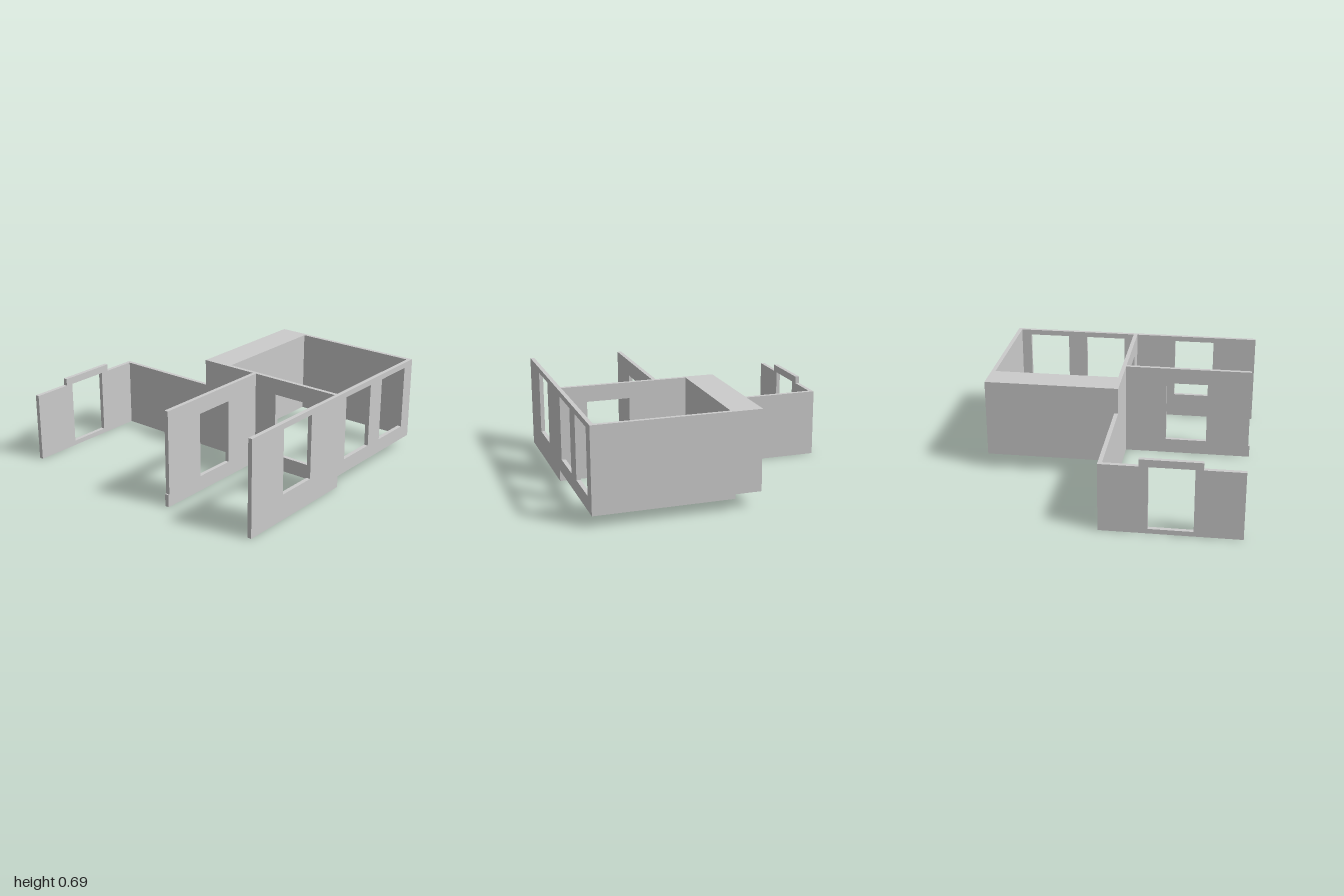
import * as THREE from 'three';

const T = 0.03;      // wall thickness
const H = 0.695;     // full wall height
const LOW = 0.5;     // low wall height
const RAISED = 0.083; // underside of the rear room

const material = new THREE.MeshStandardMaterial({ color: 0xcccccc });

// Upright slab from an outline of [along, y] points, with rectangular openings [a0, a1, y0, y1]
function slab(name, outline, openings = []) {
  const shape = new THREE.Shape(outline.map(([a, y]) => new THREE.Vector2(a, y)));
  for (const [a0, a1, y0, y1] of openings) {
    shape.holes.push(new THREE.Path([
      new THREE.Vector2(a0, y0), new THREE.Vector2(a0, y1),
      new THREE.Vector2(a1, y1), new THREE.Vector2(a1, y0),
    ]));
  }
  const geometry = new THREE.ExtrudeGeometry(shape, { depth: T, bevelEnabled: false });
  const mesh = new THREE.Mesh(geometry, material);
  mesh.name = name;
  return mesh;
}

// Wall running along x, its back face at z
function wallAlongX(name, z, outline, openings) {
  const mesh = slab(name, outline, openings);
  mesh.position.z = z;
  return mesh;
}

// Wall running along z, its +x face at x
function wallAlongZ(name, x, outline, openings) {
  const mesh = slab(name, outline, openings);
  mesh.rotation.y = -Math.PI / 2;
  mesh.position.x = x;
  return mesh;
}

export function createModel() {
  const group = new THREE.Group();
  group.name = 'houseWalls';
  const back = -0.97, front = 0.97, mid = 0.015;
  const w0 = 0.325, w1 = 0.635; // shared span of the front openings

  // Long cross wall, stepping from low to full height, with one window
  group.add(wallAlongX('crossWall', -mid,
    [[-1, 0], [1, 0], [1, H], [-0.18, H], [-0.18, LOW], [-1, LOW]],
    [[0.47, 0.785, 0.11, 0.577]]));

  // Full-length side wall with three windows, raised underneath at the rear
  group.add(wallAlongZ('leftSideWall', 1,
    [[-mid, 0], [front, 0], [front, H], [back, H], [back, RAISED], [-mid, RAISED]],
    [[w0, w1, 0.187, 0.655], [-0.4, -0.09, 0.187, 0.655], [-0.865, -0.55, 0.187, 0.655]]));

  // Partition with a small toe at the front foot
  group.add(wallAlongZ('partitionWall', 0.291,
    [[0, 0], [front, 0], [front, 0.09], [0.96, 0.09], [0.96, H], [0, H]],
    [[w0, w1, 0.11, 0.577]]));

  // Low side wall with a raised lintel over its opening
  group.add(wallAlongZ('rightSideWall', -1 + T,
    [[0, 0], [front, 0], [front, LOW], [0.69, LOW], [0.69, 0.552],
      [0.26, 0.552], [0.26, LOW], [0, LOW]],
    [[w0, w1, 0.035, 0.499]]));

  // Rear room walls
  group.add(wallAlongX('backWall', back,
    [[0.01, RAISED], [1, RAISED], [1, H], [0.01, H]]));
  group.add(wallAlongZ('rearInnerWall', 0.04,
    [[back, RAISED], [0, RAISED], [0, H], [back, H]]));

  // Solid block beside the rear room
  const bottom = 0.115, depth = mid - back;
  const block = new THREE.Mesh(new THREE.BoxGeometry(0.19, H - bottom, depth), material);
  block.name = 'rearBlock';
  block.position.set(-0.085, (H + bottom) / 2, (mid + back) / 2);
  group.add(block);

  return group;
}
